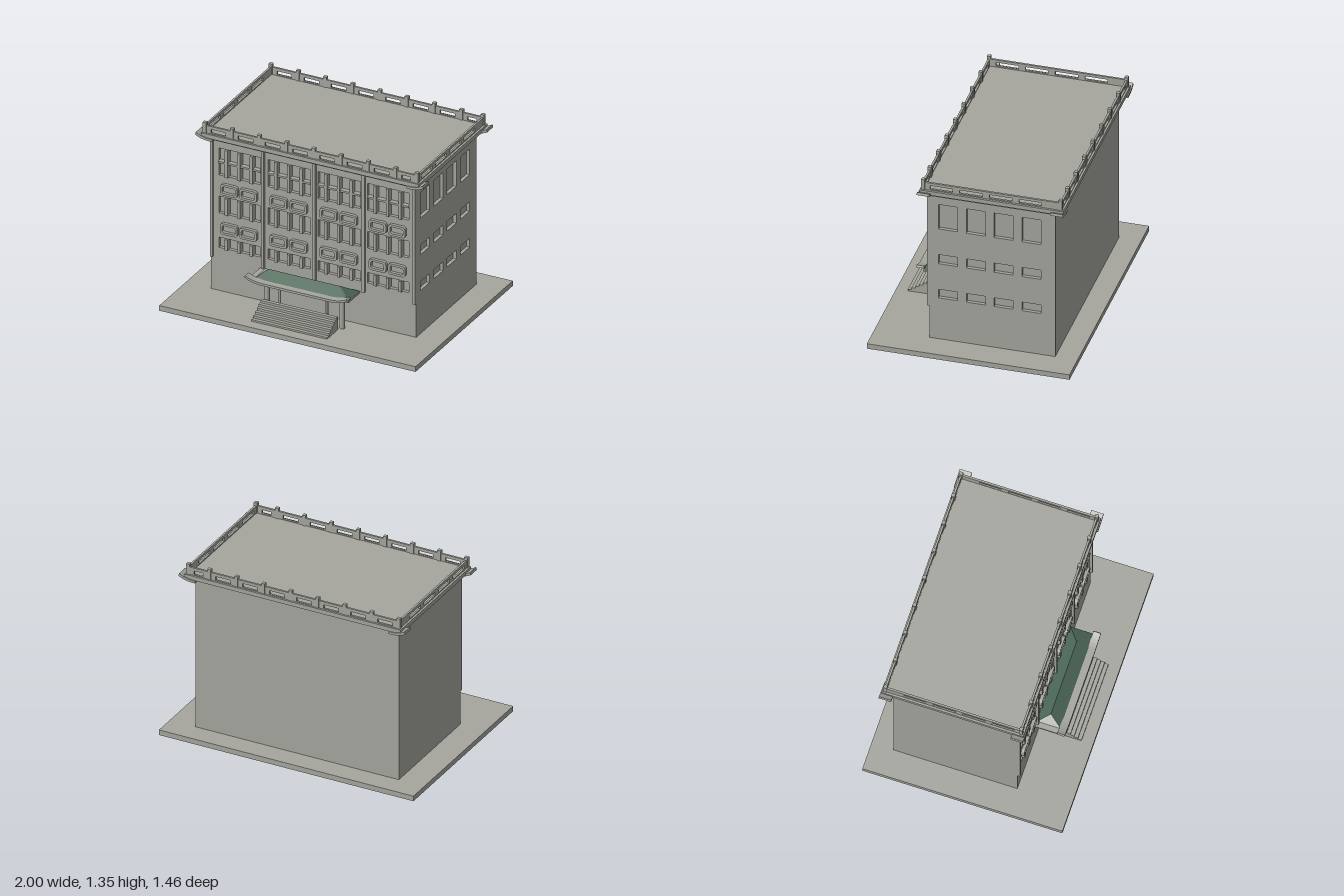
import * as THREE from 'three';

export function createModel() {
  const root = new THREE.Group();
  root.name = 'building';
  const stone = new THREE.MeshStandardMaterial({ color: 0xa6a69f });
  stone.name = 'grey stone';
  const tile = new THREE.MeshStandardMaterial({ color: 0x4a6656, side: THREE.DoubleSide });
  tile.name = 'green roof tile';

  const add = (name, geo, mat = stone) => {
    const m = new THREE.Mesh(geo, mat);
    m.name = name;
    root.add(m);
    return m;
  };
  // Box given by its limits on each axis
  const box = (name, x0, x1, y0, y1, z0, z1) => {
    const m = add(name, new THREE.BoxGeometry(x1 - x0, y1 - y0, z1 - z0));
    m.position.set((x0 + x1) / 2, (y0 + y1) / 2, (z0 + z1) / 2);
    return m;
  };
  const rect = (a, b, c, d, Type = THREE.Path) => {
    const p = new Type();
    p.moveTo(a, c); p.lineTo(b, c); p.lineTo(b, d); p.lineTo(a, d); p.closePath();
    return p;
  };
  const rounded = (a, b, c, d, r, Type) => {
    const p = new Type();
    p.moveTo(a + r, c);
    p.lineTo(b - r, c); p.quadraticCurveTo(b, c, b, c + r);
    p.lineTo(b, d - r); p.quadraticCurveTo(b, d, b - r, d);
    p.lineTo(a + r, d); p.quadraticCurveTo(a, d, a, d - r);
    p.lineTo(a, c + r); p.quadraticCurveTo(a, c, a + r, c);
    return p;
  };
  const extrude = (shape, depth) =>
    new THREE.ExtrudeGeometry(shape, { depth, bevelEnabled: false, curveSegments: 5 });

  // Ground slab and solid core
  box('groundSlab', -1, 1, 0, 0.04, -0.73, 0.73);
  box('core', -0.8, 0.775, 0.04, 1.22, -0.57, 0.31);

  // Front wall with window openings
  const bays = [[-0.74, -0.415], [-0.355, -0.025], [0.035, 0.365], [0.42, 0.745]];
  const rows = [[0.375, 0.455], [0.645, 0.775], [0.94, 1.15]];
  const front = rect(-0.8, 0.8, 0.04, 1.22, THREE.Shape);
  for (const [a, b] of bays) for (const [c, d] of rows) front.holes.push(rect(a, b, c, d));
  add('frontWall', extrude(front, 0.025)).position.z = 0.31;

  // Side wall with window openings; shape x runs towards -z
  const side = rect(-0.31, 0.57, 0.04, 1.22, THREE.Shape);
  const sideRows = [[0.375, 0.445], [0.655, 0.73], [0.94, 1.14]];
  for (let i = 0; i < 4; i++)
    for (const [c, d] of sideRows) side.holes.push(rect(-0.27 + i * 0.2, -0.133 + i * 0.2, c, d));
  const sideWall = add('sideWall', extrude(side, 0.025));
  sideWall.rotation.y = Math.PI / 2;
  sideWall.position.x = 0.775;

  // Pilasters, window fins and rounded panels
  for (const x of [-0.79, -0.39, 0.01, 0.395, 0.79]) box('pilaster', x - 0.01, x + 0.01, 0.3, 1.22, 0.33, 0.355);
  for (const [a, b] of bays) {
    const w = b - a;
    for (const [c, d] of rows)
      for (const t of [0.2, 0.5, 0.8])
        box('windowFin', a + w * t - 0.011, a + w * t + 0.011, c - 0.003, d, 0.305, 0.352);
    box('windowTransom', a, b, 1.038, 1.052, 0.305, 0.346);
    for (const y of [0.495, 0.8])
      for (const x of [a + 0.02, b - 0.155]) {
        const frame = rounded(x, x + 0.135, y, y + 0.085, 0.025, THREE.Shape);
        frame.holes.push(rounded(x + 0.017, x + 0.118, y + 0.017, y + 0.068, 0.014, THREE.Path));
        add('panelFrame', extrude(frame, 0.025)).position.z = 0.334;
      }
  }

  // Cornice with upturned corners
  box('lowerCornice', -0.83, 0.83, 1.22, 1.24, -0.61, 0.37);
  box('upperCornice', -0.85, 0.85, 1.238, 1.27, -0.64, 0.395);
  for (const s of [-1, 1]) {
    const tip = new THREE.Shape();
    tip.moveTo(s * 0.76, 1.222);
    tip.quadraticCurveTo(s * 0.84, 1.218, s * 0.89, 1.25);
    tip.lineTo(s * 0.885, 1.27);
    tip.quadraticCurveTo(s * 0.84, 1.238, s * 0.76, 1.24);
    for (const z of [-0.648, 0.313]) add('cornerEave', extrude(tip, 0.09)).position.z = z;
  }

  // Pierced parapet and its posts
  const posts = [-0.827, -0.615, -0.403, -0.19, 0.022, 0.235, 0.447, 0.66, 0.827];
  const parapet = rect(-0.83, 0.83, 1.265, 1.328, THREE.Shape);
  for (let i = 0; i < 8; i++) parapet.holes.push(rect(posts[i] + 0.048, posts[i + 1] - 0.048, 1.276, 1.305));
  for (const z of [-0.618, 0.373]) {
    add('parapet', extrude(parapet, 0.015)).position.z = z - 0.0075;
    for (const x of posts) box('parapetPost', x - 0.013, x + 0.013, 1.265, 1.351, z - 0.013, z + 0.013);
  }
  const sideParapet = rect(-0.373, 0.618, 1.265, 1.328, THREE.Shape);
  for (let i = 0; i < 4; i++) sideParapet.holes.push(rect(-0.323 + i * 0.214, -0.16 + i * 0.214, 1.279, 1.307));
  for (const x of [-0.827, 0.827]) {
    const m = add('sideParapet', extrude(sideParapet, 0.015));
    m.rotation.y = Math.PI / 2;
    m.position.x = x - 0.0075;
  }

  // Entrance canopy: plate, curved eave, columns
  box('canopyPlate', -0.415, 0.36, 0.28, 0.295, 0.335, 0.505);
  const eave = new THREE.Shape();
  eave.moveTo(-0.43, 0.316);
  eave.quadraticCurveTo(-0.37, 0.282, -0.29, 0.282);
  eave.lineTo(0.24, 0.282);
  eave.quadraticCurveTo(0.31, 0.282, 0.375, 0.316);
  eave.lineTo(0.367, 0.33);
  eave.quadraticCurveTo(0.31, 0.301, 0.24, 0.3);
  eave.lineTo(-0.29, 0.3);
  eave.quadraticCurveTo(-0.37, 0.301, -0.422, 0.33);
  add('canopyEave', extrude(eave, 0.055)).position.z = 0.5;
  for (const [x, r] of [[-0.305, 0.019], [0.28, 0.019], [-0.21, 0.009], [0.16, 0.009]]) {
    const column = add('canopyColumn', new THREE.CylinderGeometry(r, r, 0.25, 16));
    column.position.set(x, 0.163, 0.443);
  }

  // Canopy roof slopes
  const slopes = (corners, index) => {
    const g = new THREE.BufferGeometry();
    g.setAttribute('position', new THREE.Float32BufferAttribute(corners.flat(), 3));
    g.setIndex(index);
    const flat = g.toNonIndexed();
    flat.computeVertexNormals();
    return flat;
  };
  const c = [
    [-0.375, 0.297, 0.51], [0.325, 0.297, 0.51], [0.36, 0.297, 0.337], [-0.375, 0.297, 0.337],
    [-0.31, 0.346, 0.417], [0.25, 0.346, 0.417], [0.36, 0.297, 0.505],
  ];
  add('canopyRoof', slopes(c, [0, 1, 5, 0, 5, 4, 2, 3, 4, 2, 4, 5, 1, 6, 5, 6, 2, 5]), tile);
  add('canopyRoofEnd', slopes(c, [3, 0, 4]));

  // Entrance steps
  for (let i = 0; i < 6; i++)
    box('step', -0.325, 0.265, 0.035, 0.053 + i * 0.0175, 0.482, 0.645 - i * 0.027);

  return root;
}
